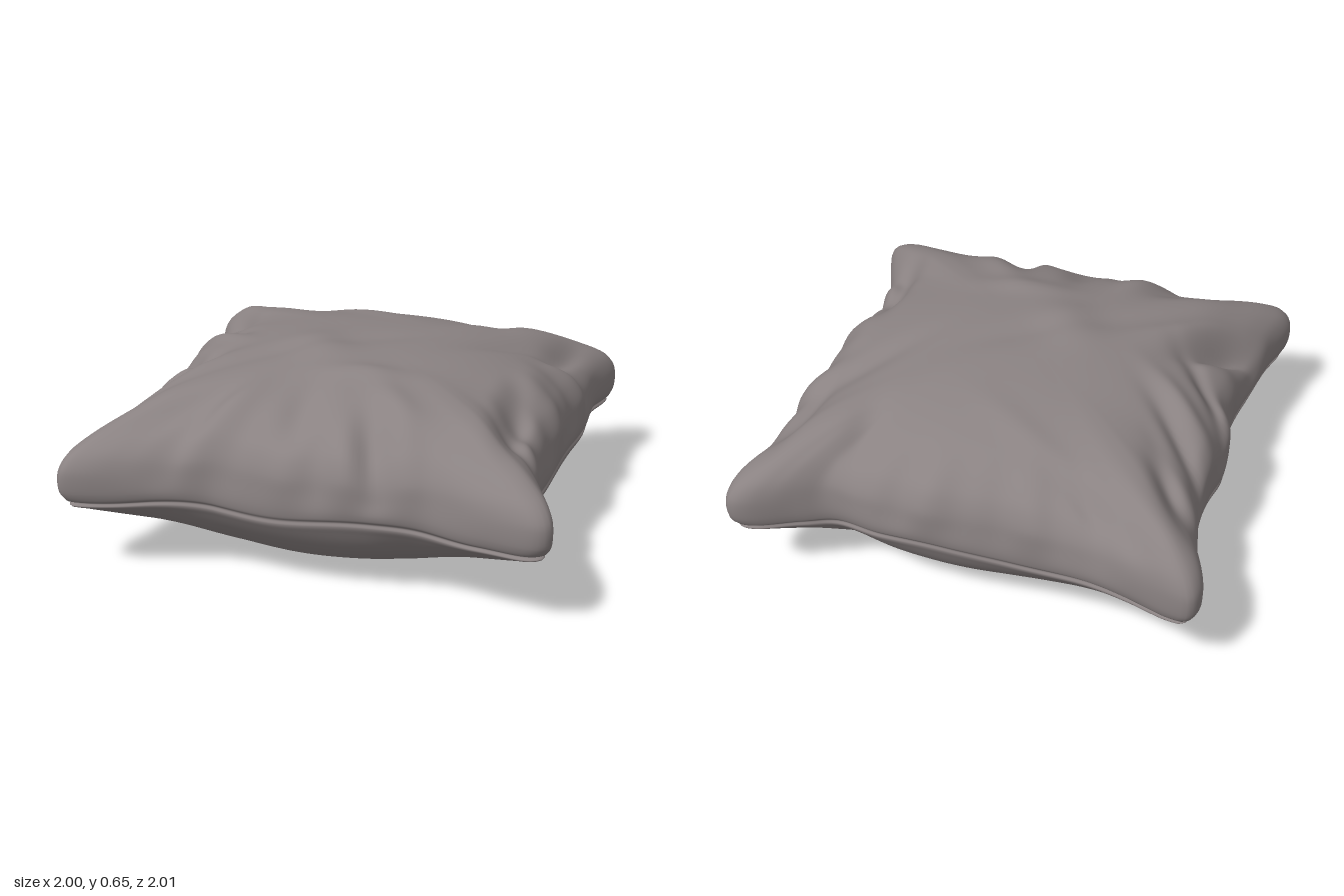
import * as THREE from 'three';

// Plan outline [x, z], running back corner -> left -> front -> right
const OUTLINE = [
  [0.41, -1], [0.45, -0.96], [0.475, -0.78], [0.55, -0.58], [0.62, -0.34], [0.7, -0.08], [0.74, 0.06],
  [0.82, 0.2], [0.93, 0.33], [0.995, 0.42], [0.97, 0.46], [0.8, 0.49], [0.6, 0.51], [0.45, 0.58],
  [0.2, 0.68], [0, 0.73], [-0.06, 0.75], [-0.2, 0.84], [-0.4, 0.985], [-0.44, 1], [-0.475, 0.96],
  [-0.49, 0.82], [-0.53, 0.63], [-0.575, 0.42], [-0.63, 0.32], [-0.7, 0.18], [-0.73, 0.05], [-0.8, -0.13],
  [-0.9, -0.28], [-0.99, -0.4], [-0.99, -0.46], [-0.95, -0.477], [-0.8, -0.49], [-0.6, -0.52],
  [-0.4, -0.58], [-0.2, -0.67], [0, -0.745], [0.17, -0.78], [0.25, -0.86], [0.36, -0.98],
];

// Cross-sections [fraction of outline, y] from top centre over the seam to bottom centre
const CORNER = [[0, 0.637], [0.15, 0.633], [0.3, 0.622], [0.45, 0.605], [0.6, 0.58], [0.72, 0.55], [0.83, 0.5],
  [0.92, 0.45], [0.975, 0.405], [1, 0.355], [1, 0.29], [0.985, 0.258], [0.97, 0.25], [0.978, 0.24], [0.955, 0.227],
  [0.85, 0.175], [0.72, 0.117], [0.58, 0.06], [0.42, 0.024], [0.25, 0.01], [0, 0.003]];
const EDGE = [[0, 0.637], [0.15, 0.633], [0.3, 0.623], [0.45, 0.604], [0.6, 0.573], [0.72, 0.537], [0.82, 0.497],
  [0.91, 0.45], [0.97, 0.395], [0.99, 0.345], [1, 0.295], [0.99, 0.268], [0.97, 0.255], [0.98, 0.243], [0.945, 0.215],
  [0.84, 0.147], [0.72, 0.09], [0.6, 0.052], [0.45, 0.026], [0.25, 0.011], [0, 0.003]];

// Soft folds: [x, z, direction, length, width, height]
const FOLDS = [
  [0.64, 0.06, 1.1, 0.2, 0.05, -0.06], [0.56, -0.1, 1.3, 0.2, 0.06, 0.025], [0.36, -0.4, 1.9, 0.22, 0.05, -0.02],
  [0.42, -0.62, 1.4, 0.18, 0.04, -0.03], [0.45, 0.38, 0.5, 0.2, 0.06, 0.025], [0.2, 0.25, 2.7, 0.15, 0.05, 0.015],
  [0.15, 0.53, 1.2, 0.14, 0.06, -0.03], [-0.05, 0.6, 1.5, 0.14, 0.06, 0.03], [0.4, 0.5, 0.9, 0.12, 0.05, -0.03],
  [-0.22, 0.68, 2.2, 0.15, 0.05, -0.02], [-0.46, 0.52, 1.8, 0.17, 0.045, -0.08], [-0.36, 0.45, 2, 0.2, 0.05, 0.02],
  [-0.58, 0.25, 0.5, 0.16, 0.035, -0.04], [-0.6, 0.1, 0.3, 0.17, 0.04, 0.025], [-0.66, -0.02, 0.4, 0.16, 0.035, -0.04],
  [-0.74, -0.22, 0.7, 0.16, 0.04, -0.03], [-0.62, -0.43, 0.1, 0.2, 0.035, -0.02], [-0.35, -0.38, 0.2, 0.25, 0.05, 0.012],
  [-0.05, 0.1, 2.2, 0.35, 0.06, -0.01], [-0.07, 0.15, 0.6, 0.13, 0.1, 0.024], [0.15, -0.64, 1.2, 0.14, 0.05, -0.02],
  [-0.87, -0.4, 0.4, 0.15, 0.1, 0.035],
];

function foldHeight(x, z) {
  let h = 0;
  for (const [fx, fz, a, len, wid, amp] of FOLDS) {
    const dx = x - fx, dz = z - fz;
    const u = (dx * Math.cos(a) + dz * Math.sin(a)) / len;
    const v = (-dx * Math.sin(a) + dz * Math.cos(a)) / wid;
    h += amp * Math.exp(-u * u - v * v);
  }
  return h;
}

function profilePoints(profile, count) {
  const curve = new THREE.CatmullRomCurve3(profile.map(([s, y]) => new THREE.Vector3(s, y, 0)), false, 'centripetal');
  return Array.from({ length: count + 1 }, (_, i) => curve.getPoint(i / count));
}

function cushionGeometry() {
  const SIDES = 320, RINGS = 100, INNER_RADIUS = 0.9;
  const outline = new THREE.CatmullRomCurve3(
    OUTLINE.map(([x, z]) => new THREE.Vector3(x, 0, z)), true, 'centripetal').getSpacedPoints(SIDES);
  const corner = profilePoints(CORNER, RINGS), edge = profilePoints(EDGE, RINGS);
  const positions = [], indices = [];

  for (let i = 0; i <= RINGS; i++) {
    for (let j = 0; j < SIDES; j++) {
      const p = outline[j], reach = p.length(), t = (j / SIDES) * Math.PI * 2;
      // 0 at the pointed corners, 1 along the middle of each side
      const mid = THREE.MathUtils.smoothstep(1.06 - reach, 0, 0.32);
      const q = corner[i].clone().lerp(edge[i], mid);
      // Puckers gather next to the seam and fade towards the middle
      const gather = mid * THREE.MathUtils.smoothstep(q.x, 0.6, 0.93);
      const pucker = Math.sin(t * 23 + 2 * Math.sin(t * 3)) + 0.5 * Math.sin(t * 37 + 1);
      const wall = THREE.MathUtils.smoothstep(q.y, 0.26, 0.4);
      // Rings turn from round near the middle to the pointed outline at the seam
      const round = THREE.MathUtils.lerp(INNER_RADIUS / reach, 1, Math.min(1, q.x * q.x));
      const s = q.x * round + gather * pucker * 0.01 * wall;
      const x = p.x * s, z = p.z * s;
      let y = q.y + foldHeight(x, z) * wall + wall * gather * pucker * 0.004;
      // The seam wanders slightly up and down
      y += mid * 0.01 * Math.sin(t * 9 + 1) * Math.exp(-(((q.y - 0.25) / 0.06) ** 2));
      positions.push(x, Math.max(0, y), z);
    }
  }
  for (let i = 0; i < RINGS; i++) {
    for (let j = 0; j < SIDES; j++) {
      const k = (j + 1) % SIDES;
      const a = i * SIDES + j, b = i * SIDES + k, c = a + SIDES, d = b + SIDES;
      if (i < RINGS - 1) indices.push(a, d, c);
      if (i > 0) indices.push(a, b, d);
      if (i === RINGS - 1) indices.push(a, b, c);
    }
  }
  // Both poles share one vertex so that their shading stays smooth
  const last = RINGS * SIDES;
  const welded = indices.map((n) => (n < SIDES ? 0 : n >= last ? last : n));
  const geometry = new THREE.BufferGeometry();
  geometry.setAttribute('position', new THREE.Float32BufferAttribute(positions, 3));
  geometry.setIndex(welded);
  geometry.computeVertexNormals();
  return geometry;
}

export function createModel() {
  const group = new THREE.Group();
  group.name = 'pillow';
  const fabric = new THREE.MeshStandardMaterial({ color: 0x8a8282 });
  fabric.name = 'warm grey fabric';
  const cushion = new THREE.Mesh(cushionGeometry(), fabric);
  cushion.name = 'cushion';
  group.add(cushion);
  return group;
}
